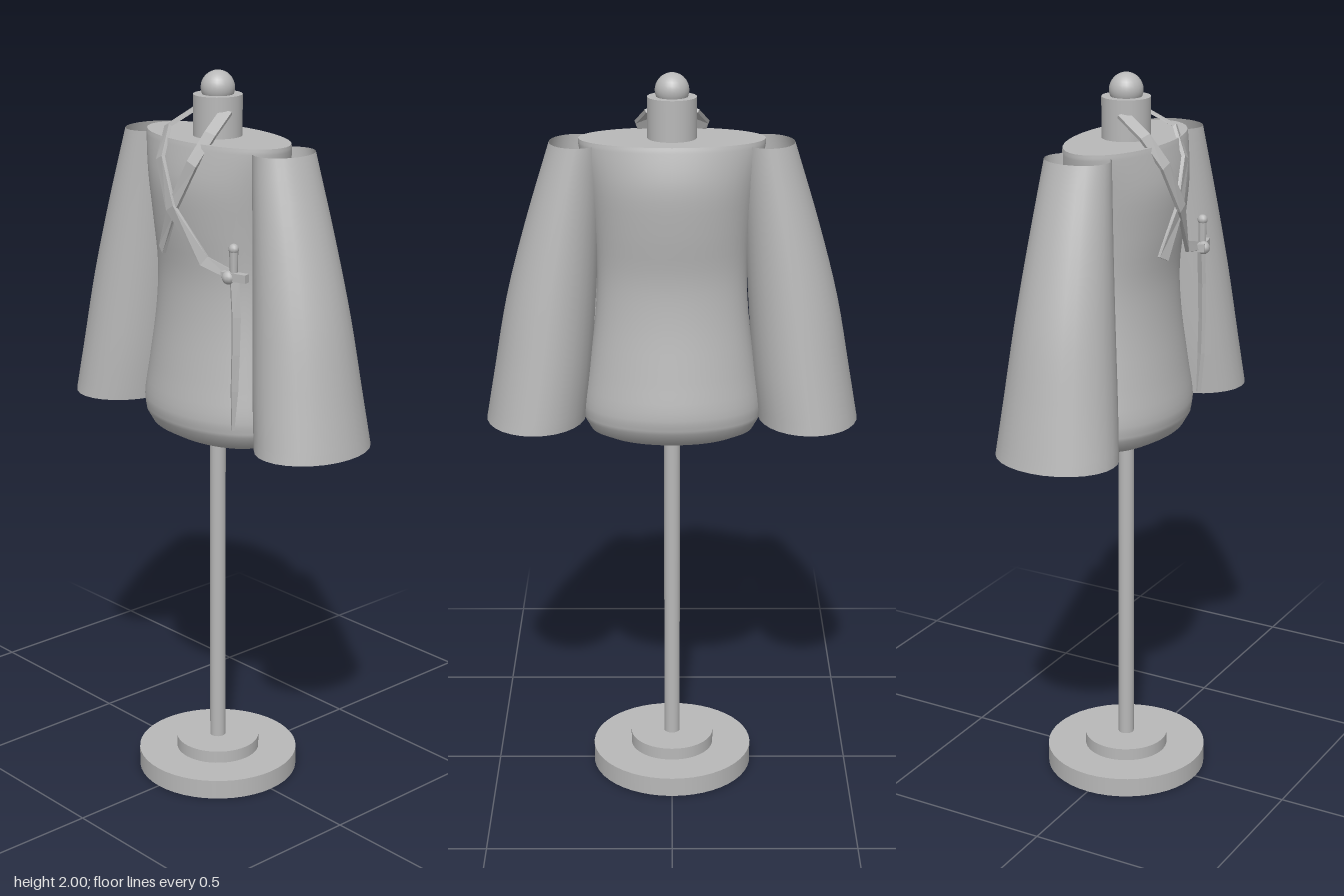
import * as THREE from 'three';

const grey = new THREE.MeshStandardMaterial({ color: 0xb8b8b8, side: THREE.DoubleSide });
grey.name = 'plain grey';

// Skin a list of rings (each an array of Vector3, counter-clockwise seen from the end of the path)
function loft(rings, faceted = false) {
  const n = rings[0].length, index = [];
  for (let r = 0; r < rings.length - 1; r++) {
    for (let i = 0; i < n; i++) {
      const a = r * n + i, b = r * n + (i + 1) % n;
      index.push(a, b, b + n, a, b + n, a + n);
    }
  }
  let g = new THREE.BufferGeometry().setFromPoints(rings.flat());
  g.setIndex(index);
  if (faceted) g = g.toNonIndexed();
  g.computeVertexNormals();
  return g;
}

// Horizontal ellipse
function ellipse(cx, y, rx, rz, n) {
  return Array.from({ length: n }, (_, i) => {
    const t = (i / n) * Math.PI * 2;
    return new THREE.Vector3(cx + rx * Math.cos(t), y, -rz * Math.sin(t));
  });
}

// Flat band following a path, lying against the torso; width may change along it
function band(points, width, thick) {
  const pts = points.map(p => new THREE.Vector3(...p));
  const rings = pts.map((p, i) => {
    const tan = pts[Math.min(i + 1, pts.length - 1)].clone().sub(pts[Math.max(i - 1, 0)]).normalize();
    const out = p.clone().sub(new THREE.Vector3(0, p.y > 1.7 ? 1.7 : p.y, 0));
    out.addScaledVector(tan, -out.dot(tan)).normalize();
    const side = tan.clone().cross(out).normalize();
    const w = (Array.isArray(width) ? width[i] : width) / 2;
    return [[1, 1], [-1, 1], [-1, -1], [1, -1]].map(([s, o]) =>
      p.clone().addScaledVector(side, -s * w).addScaledVector(out, o * thick / 2));
  });
  // close both ends
  rings.unshift(rings[0].map(() => pts[0].clone()));
  rings.push(rings[0].map(() => pts[pts.length - 1].clone()));
  return loft(rings, true);
}

export function createModel() {
  const model = new THREE.Group();
  const add = (name, geo, x = 0, y = 0, z = 0) => {
    const m = new THREE.Mesh(geo, grey);
    m.name = name;
    m.position.set(x, y, z);
    model.add(m);
    return m;
  };
  const drum = (name, r, y0, y1, n = 48) =>
    add(name, new THREE.CylinderGeometry(r, r, y1 - y0, n), 0, (y0 + y1) / 2, 0);

  // Stand
  drum('standBase', 0.225, 0, 0.055);
  drum('standCollar', 0.117, 0.055, 0.09);
  drum('standPole', 0.022, 0.09, 0.985, 20);

  // Torso: height, half width, half depth
  const profile = [
    [1.06, 0.237, 0.157], [1.1, 0.24, 0.163], [1.2, 0.226, 0.149], [1.35, 0.206, 0.128],
    [1.47, 0.2, 0.123], [1.6, 0.208, 0.139], [1.72, 0.225, 0.147], [1.815, 0.245, 0.131], [1.83, 0.245, 0.127],
  ];
  const curve = new THREE.CatmullRomCurve3(profile.map(p => new THREE.Vector3(...p)));
  const N = 48;
  const torsoRings = [[0.98, 0, 0], [1.012, 0.18, 0.108], [1.03, 0.22, 0.14]]
    .map(([y, rx, rz]) => ellipse(0, y, rx, rz, N));
  curve.getPoints(32).forEach(p => torsoRings.push(ellipse(0, p.x, p.y, p.z, N)));
  add('torso', loft(torsoRings));
  const cap = add('torsoTop', new THREE.CircleGeometry(1, N), 0, 1.83, 0);
  cap.rotation.x = -Math.PI / 2;
  cap.scale.set(0.245, 0.127, 1);

  // Neck and knob
  drum('neck', 0.065, 1.82, 1.938, 32);
  add('neckKnob', new THREE.SphereGeometry(0.045, 24, 16), 0, 1.955, 0);

  // Open flaring sleeves: height, centre, half width, half depth
  const sleeve = new THREE.CatmullRomCurve3([
    [1.06, 0.235, 0.505], [1.2, 0.219, 0.48], [1.4, 0.204, 0.443], [1.6, 0.193, 0.39], [1.82, 0.18, 0.322],
  ].map(p => new THREE.Vector3(...p)));
  for (const s of [1, -1]) {
    const rings = sleeve.getPoints(16).map(({ x: y, y: inner, z: outer }) => {
      const depth = 0.09 + 0.078 * (1.82 - y) / 0.76;
      return ellipse(s * (inner + outer) / 2, y, (outer - inner) / 2, depth, 28);
    });
    add(s > 0 ? 'leftSleeve' : 'rightSleeve', loft(rings));
  }

  // Crossed straps hanging from the neck
  add('shortStrap', band([
    [0.055, 1.9, 0.02], [0.083, 1.855, 0.1], [0.06, 1.78, 0.142],
    [0, 1.66, 0.158], [-0.06, 1.535, 0.143],
  ], 0.032, 0.01));
  add('swordStrap', band([
    [-0.055, 1.9, 0.02], [-0.083, 1.855, 0.1], [-0.06, 1.78, 0.147],
    [0, 1.66, 0.164], [0.095, 1.53, 0.132], [0.2, 1.505, 0.118],
  ], [0.032, 0.032, 0.032, 0.032, 0.03, 0.024], 0.01));

  // Sword at the left hip
  add('swordGrip', new THREE.CylinderGeometry(0.012, 0.01, 0.09, 8), 0.2, 1.54, 0.125);
  add('swordPommel', new THREE.SphereGeometry(0.014, 10, 8), 0.2, 1.58, 0.125);
  const guard = add('swordGuard', new THREE.BoxGeometry(0.075, 0.022, 0.02), 0.205, 1.508, 0.126);
  guard.rotation.y = 0.25;
  add('swordKnot', new THREE.SphereGeometry(0.018, 10, 8), 0.19, 1.505, 0.134);
  add('swordBlade', band([
    [0.2, 1.5, 0.122], [0.207, 1.4, 0.122], [0.207, 1.3, 0.124], [0.203, 1.2, 0.124], [0.195, 1.09, 0.122],
  ], [0.022, 0.022, 0.02, 0.018, 0.006], 0.012));

  return model;
}
